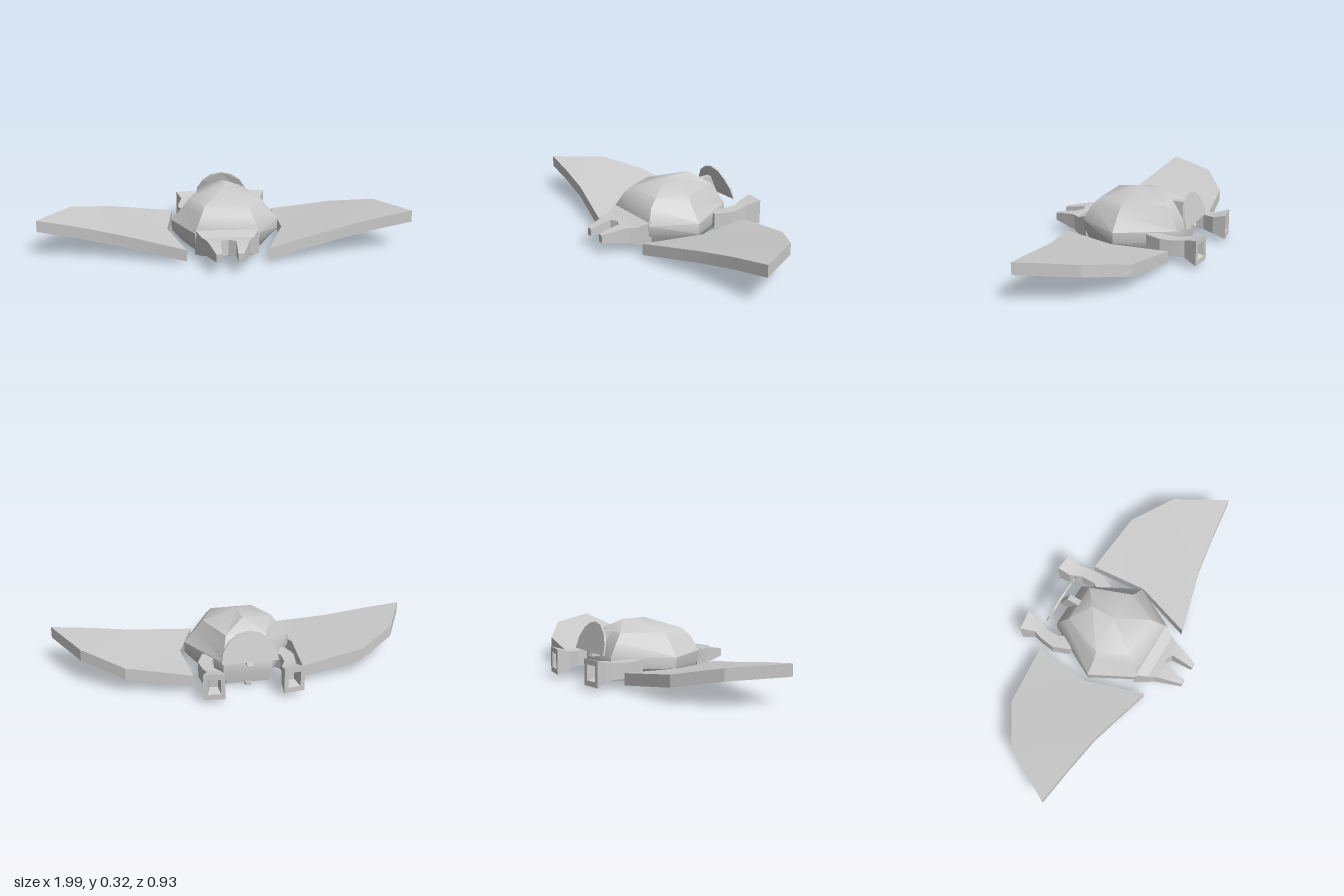
import * as THREE from 'three';
import { toCreasedNormals } from 'three/addons/utils/BufferGeometryUtils.js';

const material = new THREE.MeshStandardMaterial({ color: 0xcccccc });

// Skins a list of equal-length rings of [x, y, z], capped at both ends, facing outward.
function loft(name, rings, crease = 0.3) {
  const n = rings[0].length;
  const tris = [];
  const add = (a, b, c) => tris.push([a, b, c].map((p) => new THREE.Vector3(...p)));
  for (let r = 0; r < rings.length - 1; r++) {
    for (let i = 0; i < n; i++) {
      const j = (i + 1) % n;
      const [a, b, c, d] = [rings[r][i], rings[r][j], rings[r + 1][j], rings[r + 1][i]];
      add(a, b, c);
      add(a, c, d);
    }
  }
  const first = rings[0], last = rings[rings.length - 1];
  for (let k = 1; k < n - 1; k++) {
    const i = (1 + k) % n, j = (2 + k) % n;
    add(first[1], first[j], first[i]);
    add(last[1], last[i], last[j]);
  }
  const solid = tris.filter(([a, b, c]) =>
    b.clone().sub(a).cross(c.clone().sub(a)).length() > 1e-7);
  const volume = solid.reduce((v, [a, b, c]) => v + a.dot(b.clone().cross(c)), 0);
  const points = solid.flatMap(([a, b, c]) => (volume > 0 ? [a, b, c] : [a, c, b]));
  const geometry = new THREE.BufferGeometry().setFromPoints(points);
  const mesh = new THREE.Mesh(toCreasedNormals(geometry, crease), material);
  mesh.name = name;
  return mesh;
}

// Upright rectangle across the z axis.
const rect = (x0, x1, y0, y1, z0, z1 = z0) =>
  [[x0, y0, z0], [x1, y0, z1], [x1, y1, z1], [x0, y1, z0]];

// Six-sided hull outline at height y: front, middle and back corners.
const hex = (y, [fx, fz], [mx, mz], [bx, bz]) => [
  [fx, y, fz], [-fx, y, fz], [-mx, y, mz], [-bx, y, bz], [bx, y, bz], [mx, y, mz],
];

function hull() {
  return loft('hull', [
    hex(0.015, [0.13, 0.225], [0.23, 0], [0.11, -0.29]),
    hex(0.08, [0.165, 0.23], [0.29, 0], [0.13, -0.3]),
    hex(0.14, [0.17, 0.235], [0.292, 0], [0.13, -0.3]),
    hex(0.22, [0.135, 0.198], [0.222, 0], [0.115, -0.255]),
    hex(0.262, [0.115, 0.155], [0.19, -0.005], [0.105, -0.228]),
    hex(0.32, [0, -0.01], [0, -0.01], [0, -0.145]),
  ], 0.62);
}

function nose() {
  return loft('nose', [
    rect(-0.17, 0.17, 0.02, 0.158, 0.22),
    rect(-0.135, 0.135, 0.035, 0.135, 0.285),
    rect(-0.115, 0.115, 0.05, 0.135, 0.32),
  ]);
}

function prong(s) {
  return loft('noseProng', [
    rect(0, s * 0.115, 0.05, 0.135, 0.32),
    rect(s * 0.04, s * 0.108, 0.05, 0.135, 0.34),
    rect(s * 0.04, s * 0.07, 0.07, 0.112, 0.462),
  ]);
}

function wing(s) {
  // Each section: front, middle and back points of the lower surface.
  const sections = [
    [[0.213, 0.015, 0.308], [0.315, 0.025, 0], [0.29, 0.028, -0.313]],
    [[0.565, 0.08, 0.217], [0.6, 0.083, -0.03], [0.632, 0.082, -0.27]],
    [[0.78, 0.122, 0.187], [0.82, 0.13, 0.03], [0.848, 0.137, -0.118]],
    [[0.995, 0.157, 0.163], [0.995, 0.157, 0.163], [0.995, 0.157, 0.163]],
  ];
  const droop = s < 0 ? 0.02 : 0; // the right wing hangs slightly lower
  const rings = sections.map((section) => {
    const low = section.map(([x, y, z]) => [s * x, y - droop * Math.max(0, x - 0.25), z]);
    const high = low.map(([x, y, z]) => [x, y + 0.063, z]);
    return [...high, ...low.reverse()];
  });
  return loft('wing', rings, 0.4);
}

function engine(s) {
  // Bent square arm ending in a flared, hollow nozzle.
  return loft('engineArm', [
    rect(s * 0.12, s * 0.22, 0.05, 0.135, -0.16),
    rect(s * 0.185, s * 0.255, 0.05, 0.135, -0.25),
    rect(s * 0.185, s * 0.245, 0.05, 0.135, -0.33),
    rect(s * 0.155, s * 0.232, 0.045, 0.14, -0.395, -0.38),
    rect(s * 0.152, s * 0.262, 0.022, 0.16, -0.467, -0.452),
    rect(s * 0.174, s * 0.24, 0.05, 0.132, -0.464, -0.455),
    rect(s * 0.18, s * 0.22, 0.065, 0.12, -0.41, -0.4),
  ]);
}

function fin() {
  // Half-oval plate, leaning forward at the top.
  const shape = new THREE.Shape();
  const steps = 8;
  for (let i = 0; i <= steps; i++) {
    const a = (Math.PI * i) / steps;
    const x = 0.15 * Math.cos(a), y = 0.163 * Math.sin(a);
    if (i === 0) shape.moveTo(x, y);
    else shape.lineTo(x, y);
  }
  const geometry = new THREE.ExtrudeGeometry(shape, { depth: 0.022, bevelEnabled: false });
  const p = geometry.attributes.position;
  // The plate thins towards its rim.
  for (let i = 0; i < p.count; i++) {
    const rim = Math.max(Math.abs(p.getX(i)) / 0.15, p.getY(i) / 0.163);
    p.setZ(i, p.getZ(i) * (1 - 0.6 * rim));
  }
  geometry.computeVertexNormals();
  const mesh = new THREE.Mesh(geometry, material);
  mesh.name = 'tailFin';
  mesh.position.set(0, 0.16, -0.357);
  mesh.rotation.x = 0.25;
  return mesh;
}

function finBracket() {
  const side = (x) => [[x, 0.265, -0.2], [x, 0.265, -0.295], [x, 0.135, -0.352], [x, 0.135, -0.24]];
  return loft('finBracket', [side(-0.016), side(0.016)]);
}

function box(name, w, h, d, x, y, z) {
  const mesh = new THREE.Mesh(new THREE.BoxGeometry(w, h, d), material);
  mesh.name = name;
  mesh.position.set(x, y, z);
  return mesh;
}

export function createModel() {
  const model = new THREE.Group();
  model.name = 'wingedCraft';
  model.add(hull(), nose(), fin(), finBracket());
  for (const s of [1, -1]) model.add(wing(s), prong(s), engine(s));
  // T-shaped skid under the hull
  model.add(box('skidStem', 0.03, 0.02, 0.15, 0, 0.01, -0.225));
  model.add(box('skidBar', 0.08, 0.02, 0.035, 0, 0.01, -0.167));
  return model;
}
